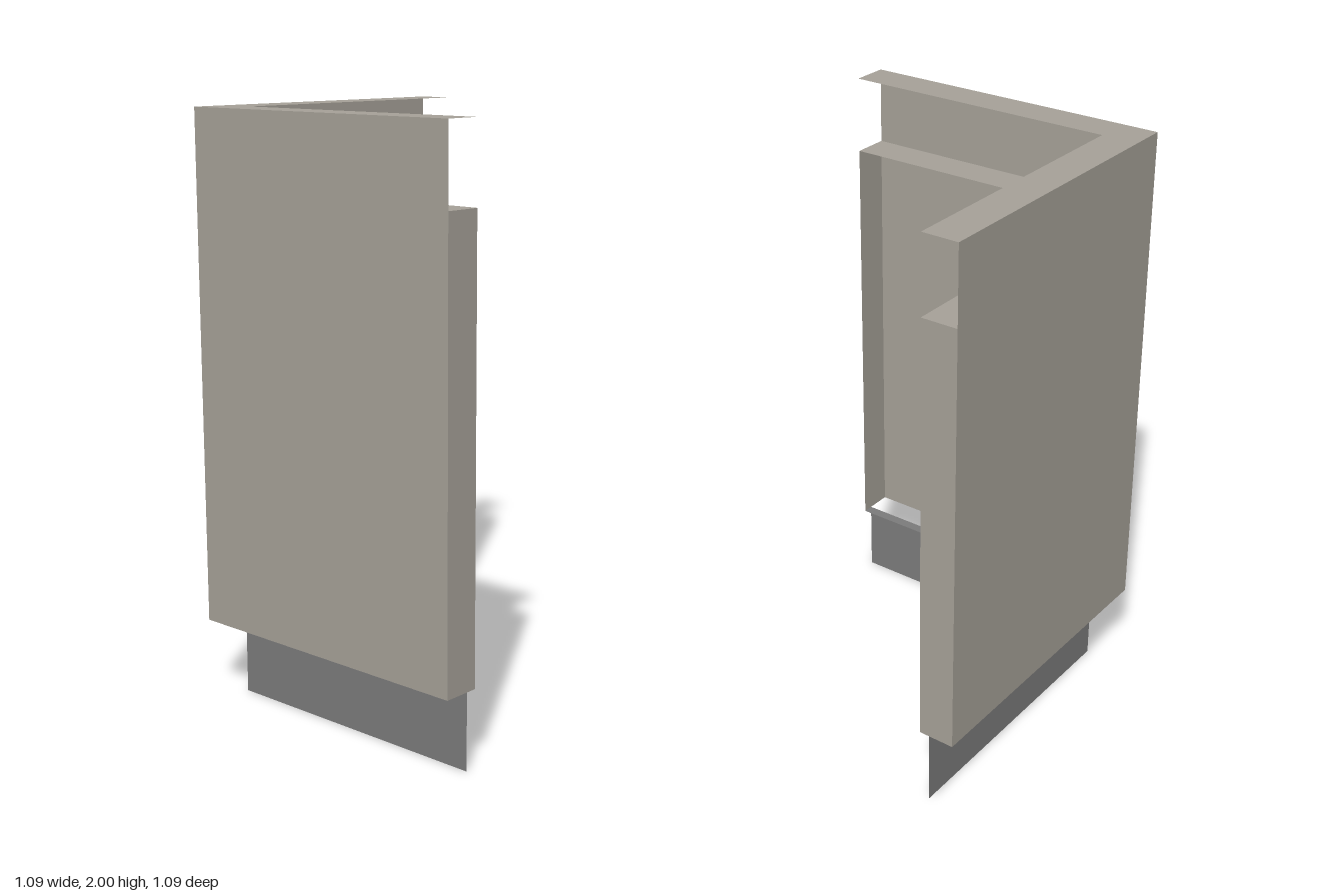
import * as THREE from 'three';

const OUT = 0.547;   // outer faces and arm ends
const IN = 0.42;     // inner edge of the arms
const KICK = 0.457;  // recessed plinth face
const BASE = 0.26;   // underside of the cabinet, top of the plinth
const SHELF = 1.74;  // top of the carcass
const TOP = 2;

export function createModel() {
  const mat = (name, color) =>
    new THREE.MeshStandardMaterial({ name, color, side: THREE.DoubleSide });
  const body = mat('bodyTaupe', 0xa7a299);
  const plinth = mat('plinthGrey', 0x7c7c7c);

  const model = new THREE.Group();
  model.name = 'cornerUnit';

  function add(name, geometry, material) {
    const mesh = new THREE.Mesh(geometry, material);
    mesh.name = name;
    model.add(mesh);
    return mesh;
  }

  // Upright sheet between two floor points
  function wall(name, [x1, z1], [x2, z2], y0, y1, material) {
    const geometry = new THREE.PlaneGeometry(Math.hypot(x2 - x1, z2 - z1), y1 - y0);
    const mesh = add(name, geometry, material);
    mesh.position.set((x1 + x2) / 2, (y0 + y1) / 2, (z1 + z2) / 2);
    mesh.rotation.y = -Math.atan2(z2 - z1, x2 - x1);
  }

  // Flat L-shaped sheet facing up, from the outer edge to the inner edge
  function deck(name, outer, y, material) {
    const corners = [
      [-outer, -OUT], [-IN, -OUT], [-IN, IN], [OUT, IN], [OUT, outer], [-outer, outer],
    ];
    const shape = new THREE.Shape(corners.map(([x, z]) => new THREE.Vector2(x, -z)));
    const geometry = new THREE.ShapeGeometry(shape).rotateX(-Math.PI / 2);
    add(name, geometry, material).position.y = y;
  }

  // Outer panels
  wall('frontPanel', [-OUT, OUT], [OUT, OUT], BASE, TOP, body);
  wall('sidePanel', [-OUT, -OUT], [-OUT, OUT], BASE, TOP, body);

  // End caps, lower than the panels
  wall('frontArmEnd', [OUT, OUT], [OUT, IN], BASE, SHELF, body);
  wall('sideArmEnd', [-IN, -OUT], [-OUT, -OUT], BASE, SHELF, body);

  // Horizontal sheets; the carcass is open underneath, outside the plinth
  deck('topRim', OUT, TOP, body);
  deck('shelf', OUT, SHELF, body);

  // Recessed plinth with its inner lip
  wall('frontPlinth', [-KICK, KICK], [OUT, KICK], 0, BASE, plinth);
  wall('sidePlinth', [-KICK, -OUT], [-KICK, KICK], 0, BASE, plinth);
  deck('plinthLip', KICK, BASE, plinth);

  return model;
}
